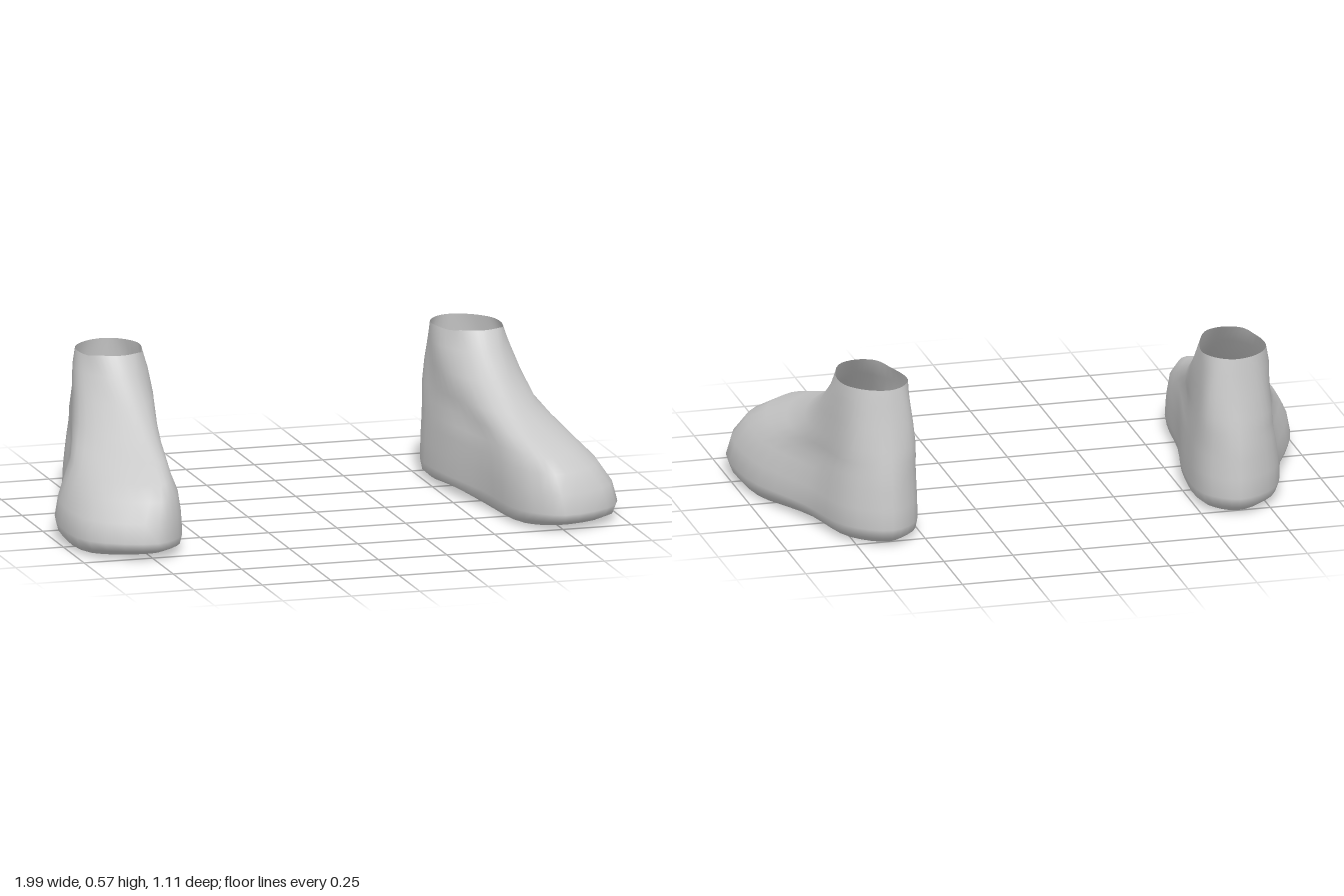
import * as THREE from 'three';

// Horizontal slices of one foot, sole to ankle:
// [height, heel z, toe z, toe x, four outer x, four inner x]
const SLICES = [
  [0.000, -0.500, 0.460, 0.745, 0.75, 0.83, 0.95, 0.93, 0.545, 0.55, 0.60, 0.65],
  [0.025, -0.545, 0.540, 0.745, 0.765, 0.85, 0.975, 0.95, 0.525, 0.515, 0.578, 0.63],
  [0.060, -0.555, 0.553, 0.745, 0.775, 0.86, 0.985, 0.96, 0.520, 0.51, 0.577, 0.625],
  [0.130, -0.550, 0.535, 0.735, 0.775, 0.85, 0.97, 0.945, 0.520, 0.515, 0.575, 0.625],
  [0.200, -0.545, 0.510, 0.72, 0.77, 0.835, 0.935, 0.895, 0.523, 0.517, 0.575, 0.63],
  [0.245, -0.540, 0.440, 0.70, 0.765, 0.82, 0.90, 0.84, 0.525, 0.52, 0.575, 0.635],
  [0.290, -0.533, 0.300, 0.68, 0.755, 0.81, 0.865, 0.79, 0.527, 0.52, 0.57, 0.62],
  [0.340, -0.525, 0.150, 0.67, 0.75, 0.80, 0.83, 0.755, 0.53, 0.522, 0.55, 0.61],
  [0.420, -0.510, 0.000, 0.665, 0.735, 0.785, 0.805, 0.73, 0.54, 0.525, 0.535, 0.60],
  [0.500, -0.500, -0.120, 0.66, 0.72, 0.775, 0.785, 0.73, 0.557, 0.53, 0.535, 0.60],
  [0.558, -0.492, -0.175, 0.66, 0.705, 0.762, 0.77, 0.735, 0.575, 0.535, 0.547, 0.59],
];
const STATIONS = [0.08, 0.3, 0.6, 0.9]; // fractions from heel to toe
const HEEL_X = 0.63;
const N = 40; // points around each slice

// Closed outline of a slice: heel, outer side, toe, inner side
function outline([y, heel, toe, toeX, ...sides]) {
  const at = (x, f) => new THREE.Vector3(x, y, heel + (toe - heel) * f);
  const outer = STATIONS.map((f, i) => at(sides[i], f));
  const inner = STATIONS.map((f, i) => at(sides[i + 4], f)).reverse();
  const curve = new THREE.CatmullRomCurve3(
    [at(HEEL_X, 0), ...outer, at(toeX, 1), ...inner], true, 'centripetal');
  return Array.from({ length: N }, (_, i) => curve.getPoint(i / N));
}

function footGeometry(side) {
  const rings = SLICES.map(outline);

  // Sole: collapse the lowest outline onto its middle line
  const base = rings[0];
  rings.unshift(base.map((p, i) => p.clone().lerp(base[(N - i) % N], 0.5)));

  // Raised arch and toe spring fade out above the sole
  for (const p of rings.flat()) {
    const lift = 0.015 * Math.exp(-(((p.z + 0.15) / 0.2) ** 2))
      + 0.012 * THREE.MathUtils.smoothstep(p.z, 0.35, 0.55);
    p.y += lift * Math.max(0, 1 - p.y / 0.08);
  }
  // Rim rises slightly at the front
  for (const p of rings[rings.length - 1]) {
    p.y += 0.01 * THREE.MathUtils.smoothstep(p.z, -0.26, -0.19);
  }

  const positions = rings.flat().flatMap((p) => [p.x * side, p.y, p.z]);
  const index = [];
  for (let r = 0; r < rings.length - 1; r++) {
    for (let i = 0; i < N; i++) {
      const a = r * N + i, b = r * N + (i + 1) % N;
      const c = a + N, d = b + N;
      if (side > 0) index.push(a, c, b, b, c, d);
      else index.push(a, b, c, b, d, c);
    }
  }
  const geometry = new THREE.BufferGeometry();
  geometry.setAttribute('position', new THREE.Float32BufferAttribute(positions, 3));
  geometry.setIndex(index);
  geometry.computeVertexNormals();
  return geometry;
}

export function createModel() {
  const group = new THREE.Group();
  group.name = 'feet';
  const material = new THREE.MeshStandardMaterial({ color: 0xcccccc, side: THREE.DoubleSide });
  for (const [name, side] of [['leftFoot', 1], ['rightFoot', -1]]) {
    const foot = new THREE.Mesh(footGeometry(side), material);
    foot.name = name;
    group.add(foot);
  }
  return group;
}
